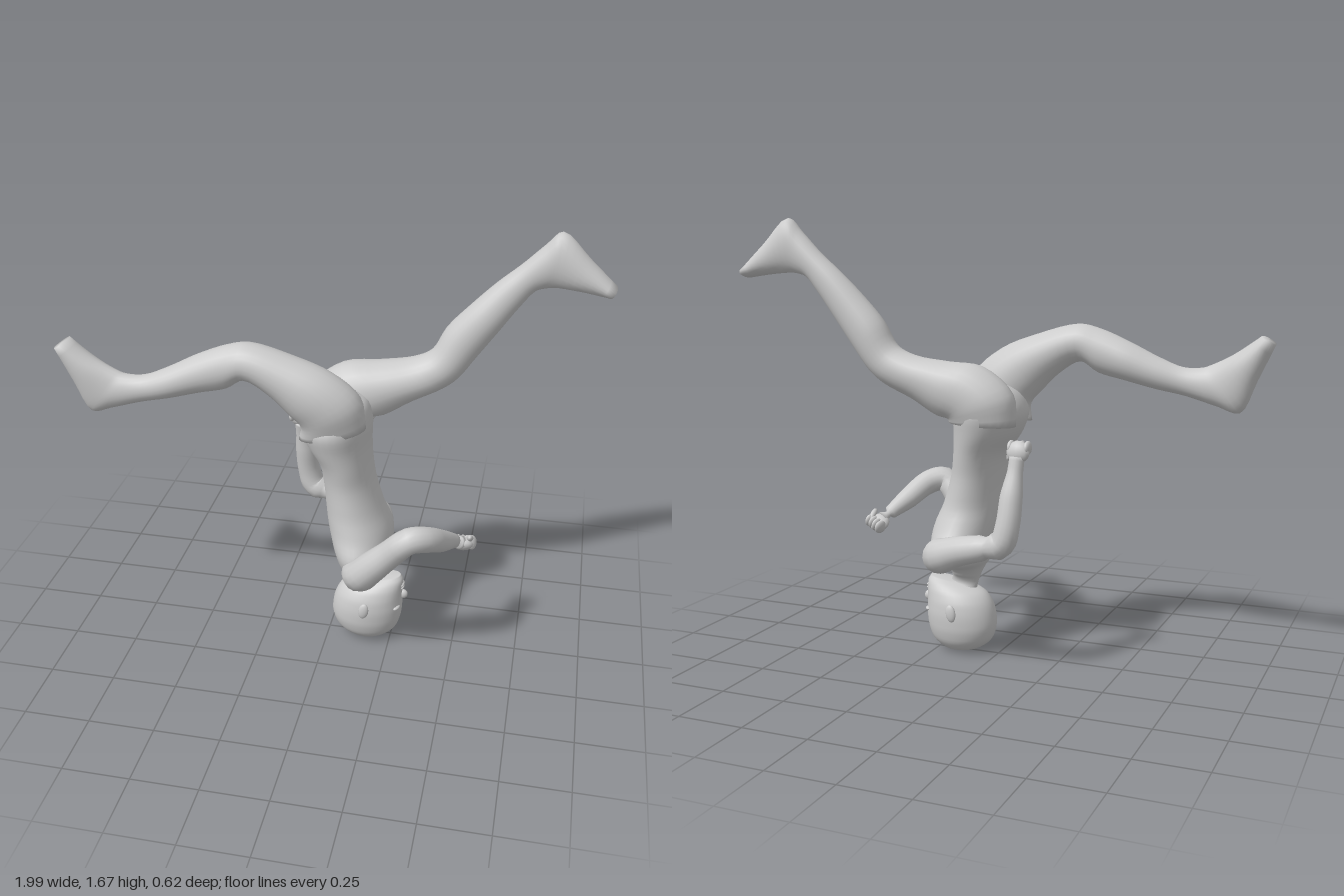
import * as THREE from 'three';

const material = new THREE.MeshStandardMaterial({ color: 0xcccccc });
const V = (x, y, z) => new THREE.Vector3(x, y, z);

// Smooth closed skin over a list of rings; both ends are capped
function skin(rings) {
  const n = rings[0].length, pos = [], index = [];
  rings.forEach(r => r.forEach(p => pos.push(p.x, p.y, p.z)));
  for (let i = 0; i < rings.length - 1; i++)
    for (let j = 0; j < n; j++) {
      const a = i * n + j, b = i * n + (j + 1) % n;
      index.push(a, b, a + n, b, b + n, a + n);
    }
  [0, rings.length - 1].forEach((ri, end) => {
    const c = V(0, 0, 0);
    rings[ri].forEach(p => c.addScaledVector(p, 1 / n));
    const ci = pos.length / 3;
    pos.push(c.x, c.y, c.z);
    for (let j = 0; j < n; j++) {
      const a = ri * n + j, b = ri * n + (j + 1) % n;
      end ? index.push(ci, a, b) : index.push(ci, b, a);
    }
  });
  // Turn the faces outward if the enclosed volume is negative
  const P = i => V(pos[3 * i], pos[3 * i + 1], pos[3 * i + 2]);
  let volume = 0;
  for (let i = 0; i < index.length; i += 3)
    volume += P(index[i]).dot(P(index[i + 1]).cross(P(index[i + 2])));
  if (volume < 0) index.reverse();
  const g = new THREE.BufferGeometry();
  g.setAttribute('position', new THREE.Float32BufferAttribute(pos, 3));
  g.setIndex(index);
  g.computeVertexNormals();
  return g;
}

// Body form from side outline pairs: [ax, ay, bx, by, z centre, half width]
function outlineLoft(sections, sides = 24, steps = 4) {
  const curve = f => new THREE.CatmullRomCurve3(sections.map(f));
  const A = curve(s => V(s[0], s[1], 0)), B = curve(s => V(s[2], s[3], 0));
  const W = curve(s => V(s[4], s[5], 0));
  const n = (sections.length - 1) * steps, rings = [];
  for (let i = 0; i <= n; i++) {
    const a = A.getPoint(i / n), b = B.getPoint(i / n), w = W.getPoint(i / n);
    const c = a.clone().add(b).multiplyScalar(0.5), u = b.sub(a).multiplyScalar(0.5);
    rings.push(Array.from({ length: sides }, (_, j) => {
      const t = j / sides * Math.PI * 2;
      return V(c.x + u.x * Math.cos(t), c.y + u.y * Math.cos(t), w.x + w.y * Math.sin(t));
    }));
  }
  return skin(rings);
}

// Round limb along a path: [x, y, z, radius]
function limb(points, sides = 16, steps = 4) {
  const path = new THREE.CatmullRomCurve3(points.map(p => V(p[0], p[1], p[2])));
  const radius = new THREE.CatmullRomCurve3(points.map(p => V(p[3], 0, 0)));
  const n = (points.length - 1) * steps, rings = [];
  let side = V(0, 0, 1);
  for (let i = 0; i <= n; i++) {
    const c = path.getPoint(i / n), t = path.getTangent(i / n), r = radius.getPoint(i / n).x;
    side = side.clone().addScaledVector(t, -side.dot(t)).normalize();
    const up = t.clone().cross(side);
    rings.push(Array.from({ length: sides }, (_, j) => {
      const a = j / sides * Math.PI * 2;
      return c.clone().addScaledVector(side, r * Math.cos(a)).addScaledVector(up, r * Math.sin(a));
    }));
  }
  return skin(rings);
}

export function createModel() {
  const model = new THREE.Group();
  const add = (name, geometry, parent = model) => {
    const m = new THREE.Mesh(geometry, material);
    m.name = name;
    parent.add(m);
    return m;
  };
  const blob = (name, p, s, parent) => {
    const m = add(name, new THREE.SphereGeometry(1, 16, 12), parent);
    m.position.set(...p);
    m.scale.set(...s);
    return m;
  };

  // Upside-down body, chest towards +x: neck, shoulders, waist, hips
  add('torso', outlineLoft([
    [0.10, 0.22, 0.21, 0.24, 0, 0.05], [0.08, 0.30, 0.19, 0.31, 0, 0.05],
    [0.06, 0.345, 0.20, 0.34, 0, 0.085], [0.04, 0.38, 0.225, 0.37, -0.005, 0.18],
    [0.02, 0.44, 0.245, 0.44, -0.01, 0.21], [0, 0.52, 0.245, 0.51, -0.005, 0.175],
    [-0.01, 0.60, 0.21, 0.60, 0, 0.148], [-0.02, 0.70, 0.175, 0.71, -0.005, 0.145],
    [-0.04, 0.80, 0.16, 0.80, -0.01, 0.16], [-0.09, 0.88, 0.155, 0.88, -0.015, 0.18],
    [-0.11, 0.95, 0.155, 0.96, -0.015, 0.195], [-0.08, 1.02, 0.14, 1.03, -0.015, 0.16],
    [-0.02, 1.06, 0.09, 1.07, -0.015, 0.08],
  ], 32));

  // Bent leg with foot, reaching towards -x
  add('backwardLeg', outlineLoft([
    [0.15, 0.97, -0.10, 0.91, 0.085, 0.08], [0.13, 1.09, -0.09, 0.97, 0.095, 0.098],
    [0.03, 1.18, -0.13, 1.02, 0.105, 0.098], [-0.12, 1.24, -0.20, 1.09, 0.108, 0.086],
    [-0.28, 1.28, -0.29, 1.14, 0.11, 0.075], [-0.36, 1.265, -0.36, 1.10, 0.11, 0.07],
    [-0.47, 1.22, -0.46, 1.075, 0.112, 0.068], [-0.58, 1.165, -0.58, 1.045, 0.125, 0.058],
    [-0.67, 1.13, -0.68, 1.025, 0.135, 0.046], [-0.74, 1.13, -0.80, 0.99, 0.14, 0.047],
    [-0.77, 1.14, -0.88, 0.97, 0.14, 0.05], [-0.85, 1.18, -0.94, 1.09, 0.14, 0.055],
    [-0.95, 1.25, -1.0, 1.22, 0.14, 0.05],
  ]));

  // Raised leg with foot, reaching towards +x
  add('forwardLeg', outlineLoft([
    [-0.11, 0.91, 0.15, 0.92, -0.11, 0.09], [-0.10, 1.03, 0.15, 0.93, -0.115, 0.103],
    [0.02, 1.13, 0.19, 0.94, -0.12, 0.103], [0.15, 1.145, 0.29, 1.0, -0.13, 0.09],
    [0.28, 1.165, 0.40, 1.055, -0.145, 0.075], [0.35, 1.20, 0.455, 1.10, -0.15, 0.07],
    [0.40, 1.29, 0.52, 1.19, -0.16, 0.068], [0.48, 1.38, 0.59, 1.29, -0.165, 0.063],
    [0.57, 1.47, 0.66, 1.39, -0.175, 0.052], [0.65, 1.54, 0.71, 1.45, -0.18, 0.046],
    [0.73, 1.62, 0.74, 1.46, -0.18, 0.047], [0.785, 1.67, 0.77, 1.465, -0.18, 0.05],
    [0.89, 1.575, 0.85, 1.46, -0.18, 0.055], [0.99, 1.48, 0.965, 1.445, -0.18, 0.05],
  ]));

  // Arms, shoulder to wrist
  add('forwardArm', limb([
    [0.13, 0.41, 0.12, 0.05], [0.15, 0.40, 0.19, 0.064], [0.20, 0.46, 0.22, 0.06],
    [0.27, 0.54, 0.24, 0.052], [0.345, 0.62, 0.258, 0.049], [0.40, 0.61, 0.22, 0.048],
    [0.45, 0.555, 0.13, 0.042], [0.49, 0.51, 0.05, 0.028], [0.51, 0.49, 0.025, 0.028],
  ]));
  add('backwardArm', limb([
    [0.15, 0.43, -0.12, 0.06], [0.15, 0.425, -0.21, 0.066], [0.06, 0.46, -0.245, 0.056],
    [-0.04, 0.485, -0.26, 0.048], [-0.12, 0.51, -0.265, 0.048], [-0.143, 0.58, -0.262, 0.045],
    [-0.15, 0.68, -0.245, 0.042], [-0.157, 0.77, -0.225, 0.029], [-0.16, 0.82, -0.215, 0.028],
  ]));

  // Closed hands: palm, four curled fingers and a thumb
  const hand = (name, p, rotation) => {
    const g = new THREE.Group();
    g.name = name;
    blob('palm', [0, 0, 0], [0.044, 0.04, 0.026], g);
    for (let i = 0; i < 4; i++) blob('finger', [-0.032 + i * 0.021, 0.016, 0.008], [0.013, 0.026, 0.028], g);
    blob('thumb', [0.034, -0.005, 0.022], [0.012, 0.03, 0.013], g).rotation.z = 0.5;
    g.position.set(...p);
    g.rotation.set(...rotation);
    model.add(g);
  };
  hand('forwardHand', [0.52, 0.475, 0.008], [-2.2, 0, -0.5]);
  hand('backwardHand', [-0.162, 0.838, -0.21], [0.2, 0, 0]);

  // Head with crown on the floor and chin upward
  add('head', outlineLoft([
    [0.145, 0.002, 0.165, 0.002, 0, 0.01], [0.085, 0.014, 0.225, 0.014, 0, 0.06],
    [0.035, 0.05, 0.27, 0.05, 0, 0.092], [0.015, 0.10, 0.288, 0.10, 0, 0.107],
    [0.016, 0.15, 0.294, 0.15, 0, 0.11], [0.03, 0.20, 0.293, 0.20, 0, 0.104],
    [0.055, 0.235, 0.295, 0.245, 0, 0.087], [0.09, 0.255, 0.294, 0.275, 0, 0.064],
    [0.15, 0.275, 0.283, 0.294, 0, 0.035],
  ], 32));

  // Face details and ears
  blob('nose', [0.295, 0.203, 0], [0.02, 0.02, 0.014]);
  for (const y of [0.24, 0.252]) blob('lip', [0.292, y, 0], [0.009, 0.006, 0.024]);
  for (const s of [1, -1]) {
    const eye = blob('eye', [0.277, 0.165, s * 0.045], [0.012, 0.008, 0.022]);
    eye.rotation.y = -s * 0.35;
    const ear = blob('ear', [0.155, 0.172, s * 0.108], [0.02, 0.034, 0.011]);
    ear.rotation.z = -0.15;
  }
  return model;
}
